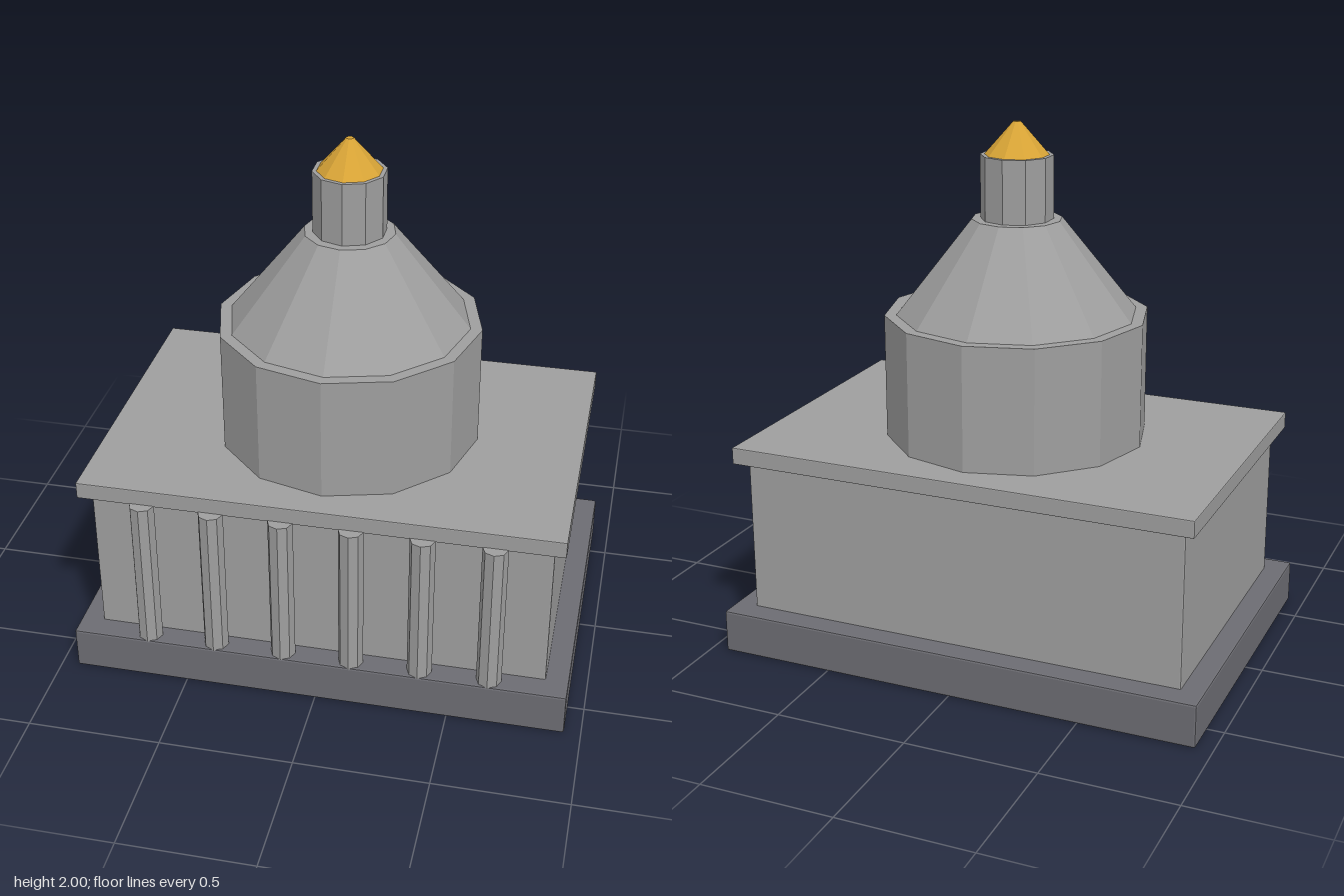
import * as THREE from 'three';
import { RoundedBoxGeometry } from 'three/addons/geometries/RoundedBoxGeometry.js';

const stone = new THREE.MeshStandardMaterial({ name: 'stone', color: 0x9e9e9e });
const darkStone = new THREE.MeshStandardMaterial({ name: 'darkStone', color: 0x6c6c72 });
const gold = new THREE.MeshStandardMaterial({ name: 'gold', color: 0xd8a436 });

// Gives every face its own flat normal
function faceted(geometry) {
  const flat = geometry.index ? geometry.toNonIndexed() : geometry;
  flat.computeVertexNormals();
  return flat;
}

function addPart(group, name, geometry, material, x, y, z) {
  const mesh = new THREE.Mesh(faceted(geometry), material);
  mesh.name = name;
  mesh.position.set(x, y, z);
  group.add(mesh);
}

export function createModel() {
  const group = new THREE.Group();
  group.name = 'domedHall';

  // Box with finely chamfered edges between two heights
  const slab = (name, width, depth, y0, y1, material, bevel) =>
    addPart(group, name, new RoundedBoxGeometry(width, y1 - y0, depth, 1, bevel),
      material, 0, (y0 + y1) / 2, 0);

  // Faceted round section between two heights
  const drum = (name, rBottom, rTop, y0, y1, sides, material, x = 0, z = 0) =>
    addPart(group, name, new THREE.CylinderGeometry(rTop, rBottom, y1 - y0, sides),
      material, x, (y0 + y1) / 2, z);

  // Hall
  slab('plinth', 1.876, 1.29, 0, 0.165, darkStone, 0.008);
  slab('hallBody', 1.705, 1.11, 0.155, 0.765, stone, 0.006);
  slab('cornice', 1.79, 1.2, 0.755, 0.82, stone, 0.004);

  // Front colonnade
  for (let i = 0; i < 6; i++) {
    drum('column', 0.047, 0.047, 0.16, 0.76, 8, stone, (i - 2.5) * 0.259, 0.598);
  }

  // Dome, lantern and finial
  drum('domeDrum', 0.495, 0.495, 0.815, 1.29, 12, stone);
  drum('dome', 0.455, 0.168, 1.285, 1.645, 12, stone);
  drum('lantern', 0.135, 0.135, 1.64, 1.88, 10, stone);
  drum('finial', 0.121, 0.014, 1.878, 2, 10, gold);

  return group;
}
